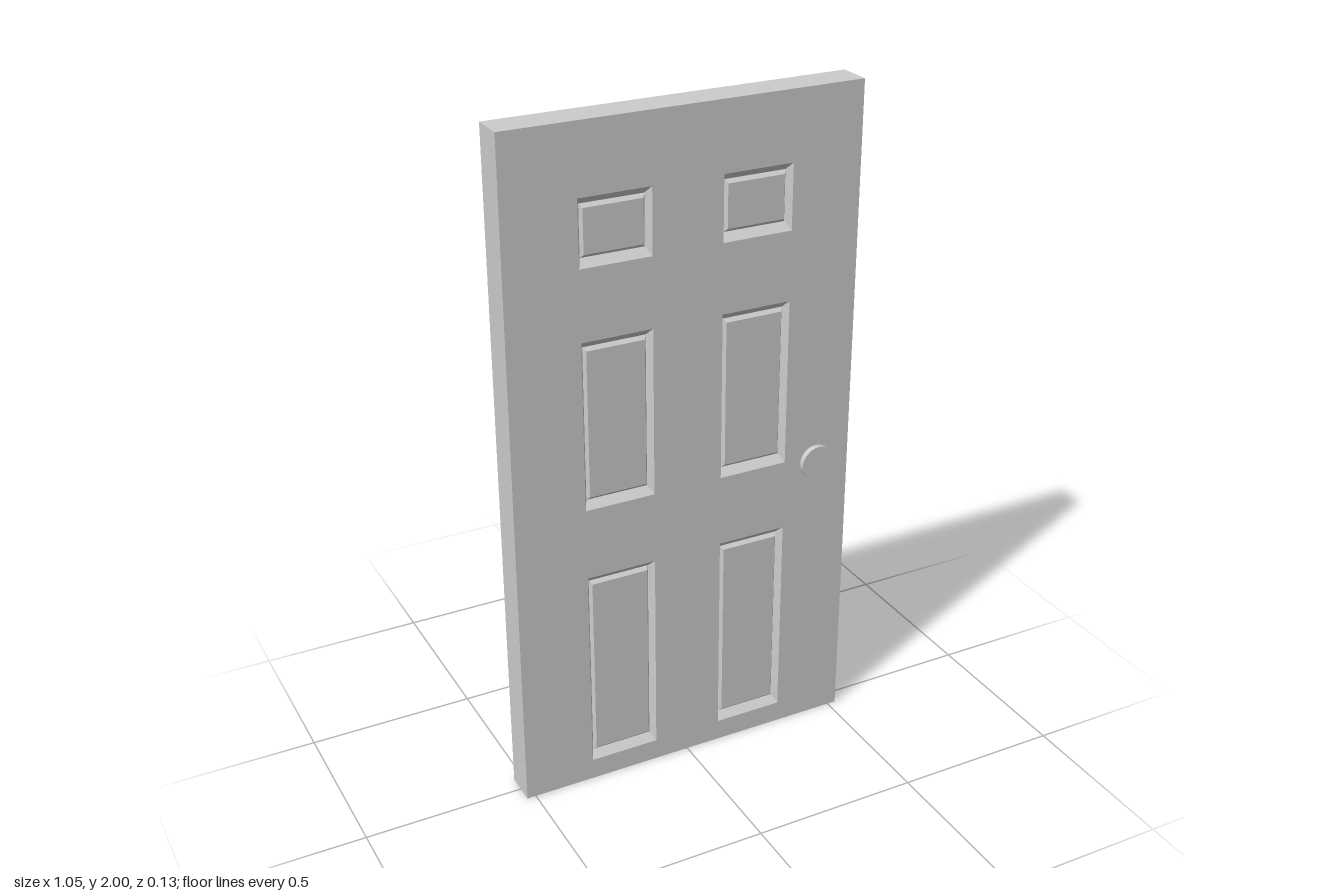
import * as THREE from 'three';

const HALF_W = 0.527, HEIGHT = 2, HALF_D = 0.05;
const grey = new THREE.MeshStandardMaterial({ color: 0xcccccc });
grey.name = 'door grey';

// Panel openings: x0, x1, y0, y1 (mirrored to the other half)
const openings = [
  [0.105, 0.315, 1.61, 1.8],
  [0.105, 0.315, 0.905, 1.405],
  [0.105, 0.315, 0.065, 0.69],
].flatMap(([a, b, c, d]) => [[a, b, c, d], [-b, -a, c, d]]);

// Joins rectangular rings [x0, x1, y0, y1, z] with flat strips, optionally closing the last
function loftRects(rings, cap) {
  const pos = [];
  const corners = ([x0, x1, y0, y1, z]) => [[x0, y0, z], [x1, y0, z], [x1, y1, z], [x0, y1, z]];
  const quad = (a, b, c, d) => pos.push(...a, ...b, ...c, ...a, ...c, ...d);
  for (let r = 0; r < rings.length - 1; r++) {
    const a = corners(rings[r]), b = corners(rings[r + 1]);
    for (let i = 0; i < 4; i++) {
      const j = (i + 1) % 4;
      quad(a[i], a[j], b[j], b[i]);
    }
  }
  if (cap) quad(...corners(rings[rings.length - 1]));
  const geo = new THREE.BufferGeometry();
  geo.setAttribute('position', new THREE.Float32BufferAttribute(pos, 3));
  geo.computeVertexNormals();
  return geo;
}

function addMesh(parent, geo, name) {
  const mesh = new THREE.Mesh(geo, grey);
  mesh.name = name;
  parent.add(mesh);
  return mesh;
}

function rectPath(path, x0, x1, y0, y1) {
  return path.moveTo(x0, y0).lineTo(x1, y0).lineTo(x1, y1).lineTo(x0, y1).closePath();
}

// One face of the door with six moulded panels
function createFace(name) {
  const face = new THREE.Group();
  face.name = name;
  const shape = rectPath(new THREE.Shape(), -HALF_W, HALF_W, 0, HEIGHT);
  for (const o of openings) shape.holes.push(rectPath(new THREE.Path(), ...o));
  addMesh(face, new THREE.ShapeGeometry(shape), 'faceBoard').position.z = HALF_D;

  for (const [x0, x1, y0, y1] of openings) {
    const ring = (dx, dy, z) => [x0 + dx, x1 - dx, y0 + dy, y1 - dy, z];
    addMesh(face, loftRects([
      ring(0, 0, HALF_D),
      ring(0.012, 0.022, 0.028),
      ring(0.019, 0.032, 0.038),
    ], true), 'recessedPanel');
  }
  return face;
}

export function createModel() {
  const door = new THREE.Group();
  door.name = 'door';

  // Outer edges of the slab
  const outline = [-HALF_W, HALF_W, 0, HEIGHT];
  addMesh(door, loftRects([[...outline, -HALF_D], [...outline, HALF_D]], false), 'slabEdges');

  // Matching faces
  const back = createFace('backFace');
  back.rotation.y = Math.PI;
  door.add(createFace('frontFace'), back);

  // Flat round knobs on both sides
  for (const side of [1, -1]) {
    const knob = addMesh(door, new THREE.CylinderGeometry(0.051, 0.051, 0.018, 32), side > 0 ? 'frontKnob' : 'backKnob');
    knob.rotation.x = Math.PI / 2;
    knob.position.set(0.418, 0.886, side * 0.058);
  }
  return door;
}
